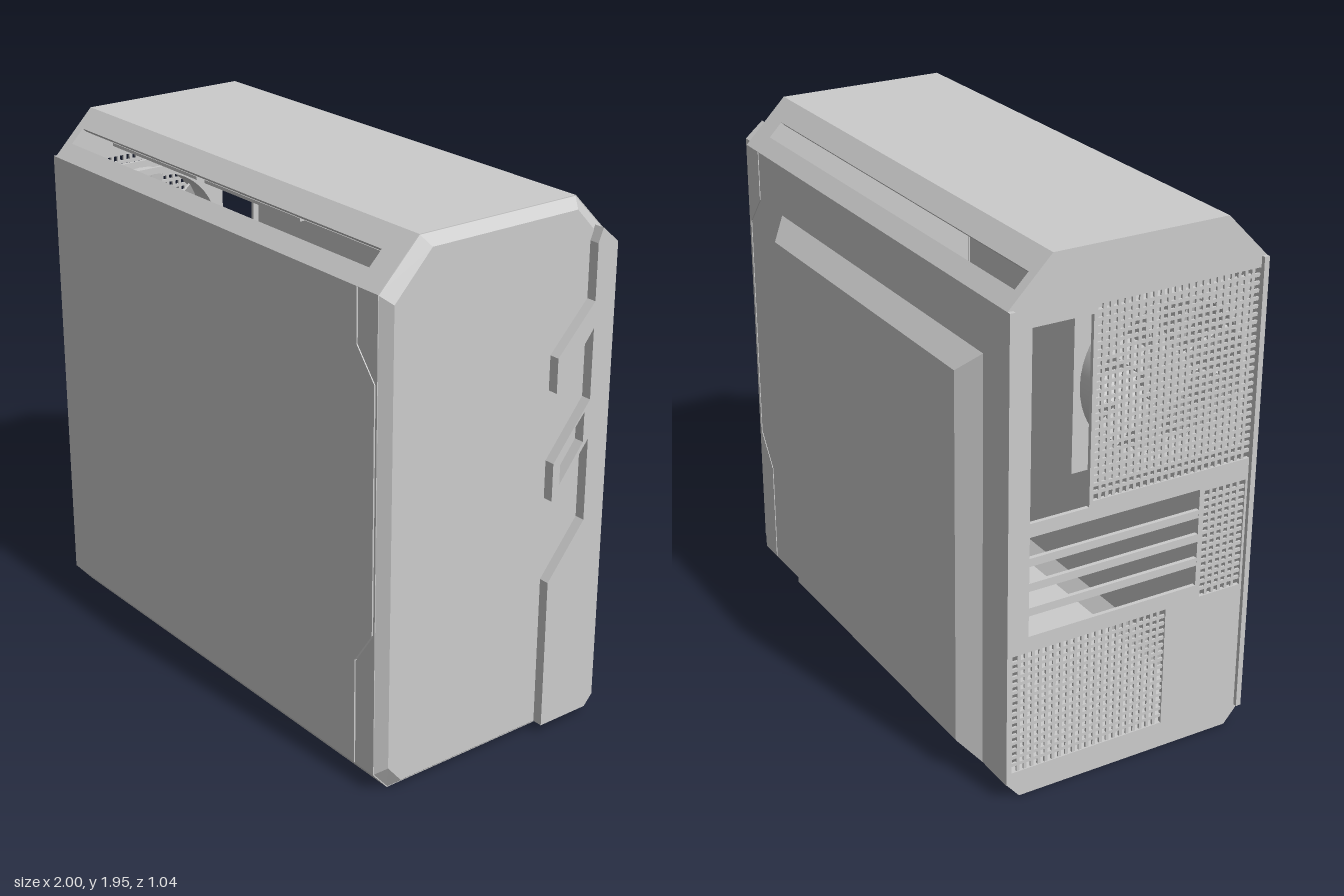
import * as THREE from 'three';
import { mergeGeometries } from 'three/addons/utils/BufferGeometryUtils.js';

const grey = new THREE.MeshStandardMaterial({ color: 0xcccccc, flatShading: true });
const smooth = new THREE.MeshStandardMaterial({ color: 0xcccccc, side: THREE.DoubleSide });
const vec = (p) => new THREE.Vector2(p[0], p[1]);
const rect = (a0, a1, b0, b1) => [[a0, b0], [a1, b0], [a1, b1], [a0, b1]];

function slab(points, depth, holes = []) {
  const shape = new THREE.Shape(points.map(vec));
  holes.forEach((h) => shape.holes.push(new THREE.Path(h.map(vec))));
  return new THREE.ExtrudeGeometry(shape, { depth, bevelEnabled: false });
}

// Move the outline at local z = level from one outline to a matching inset one
function taper(geo, from, to, level) {
  const p = geo.attributes.position;
  for (let i = 0; i < p.count; i++) {
    if (Math.abs(p.getZ(i) - level) > 1e-4) continue;
    const k = from.findIndex((f) => Math.hypot(f[0] - p.getX(i), f[1] - p.getY(i)) < 1e-4);
    p.setXY(i, to[k][0], to[k][1]);
  }
  geo.computeVertexNormals();
  return geo;
}

// Outline given as (z, y); thickness runs from x towards -x
const zyMatrix = (x) => new THREE.Matrix4().makeBasis(
  new THREE.Vector3(0, 0, 1), new THREE.Vector3(0, 1, 0), new THREE.Vector3(-1, 0, 0)).setPosition(x, 0, 0);

function box(w, h, d, x, y, z) {
  return new THREE.BoxGeometry(w, h, d).translate(x, y, z);
}

// Case cross-section as (z, y), front bottom round to back bottom
const section = [[0.46, 0], [0.52, 0.07], [0.52, 1.79], [0.36, 1.953],
  [-0.30, 1.953], [-0.46, 1.79], [-0.46, 0.07], [-0.40, 0]];
const wallNames = ['frontSkirt', 'frontSidePanel', 'frontSlope', 'topPanel',
  'backSlope', 'backSidePanel', 'backSkirt', 'bottomPanel'];

export function createModel() {
  const root = new THREE.Group();
  const add = (name, geo, parent = root, mat = grey) => {
    const mesh = new THREE.Mesh(geo, mat);
    mesh.name = name;
    parent.add(mesh);
    return mesh;
  };

  // Outer walls, one plate per side of the cross-section
  section.forEach((a, i) => {
    const b = section[(i + 1) % section.length];
    const U = new THREE.Vector3(0, b[1] - a[1], b[0] - a[0]);
    const len = U.length();
    U.normalize();
    const X = new THREE.Vector3(1, 0, 0);
    const N = X.clone().cross(U);
    const m = new THREE.Matrix4().makeBasis(X, U, N)
      .setPosition(new THREE.Vector3(0, a[1], a[0]).addScaledVector(N, -0.02));
    const put = (name, pts, holes) => add(name, slab(pts, 0.02, holes).applyMatrix4(m));

    if (i === 1 || i === 5) {
      // Side panel with stepped seam against the bezel cheek
      let seam = [[0.82, 0], [0.82, 0.40], [0.91, 0.53], [0.91, 1.42], [0.82, 1.53], [0.82, len]];
      if (i === 5) seam = seam.map(([x, u]) => [x, len - u]).reverse();
      put(wallNames[i], [[-1, 0], ...seam, [-1, len]]);
      put('bezelCheek', [[0.925, 0], [0.925, len],
        ...seam.map(([x, u]) => [x + 0.007, u]).reverse()]);
    } else {
      const u0 = i === 2 ? 0.07 : len - 0.14;
      const slot = i === 2 || i === 4 ? [rect(-0.945, 0.82, u0, u0 + 0.07)] : [];
      put(wallNames[i], rect(-0.985, 0.925, 0, len), slot);
    }
  });

  // Front bezel with chamfered rim
  const inset = section.map(([z, y]) => [0.03 + (z - 0.03) * 0.93, 0.976 + (y - 0.976) * 0.963]);
  add('frontBezel', taper(slab(section, 0.04), section, inset, 0).applyMatrix4(zyMatrix(0.962)));

  // Raised toothed trim on the bezel
  const trim = [[-0.36, 1.85], [-0.34, 1.8], [-0.34, 1.6], [-0.183, 1.435], [-0.183, 1.31],
    [-0.34, 1.505], [-0.34, 1.25], [-0.183, 1.055], [-0.183, 0.915], [-0.34, 1.105],
    [-0.34, 0.8], [-0.183, 0.605], [-0.183, 0.035], [-0.395, 0.035], [-0.43, 0.075], [-0.43, 1.79]];
  const window_ = [[-0.215, 0.97], [-0.215, 1.09], [-0.317, 1.21], [-0.317, 1.1]];
  add('bezelTrim', slab(trim, 0.04, [window_]).applyMatrix4(zyMatrix(1)));

  // Bulge on the back side panel
  const base = [[0.63, 1.6], [0.63, 0.62], [0.55, 0.49], [0.55, 0.07], [-0.84, 0.07], [-0.84, 1.6]];
  const crown = [[0.56, 1.53], [0.56, 0.62], [0.48, 0.49], [0.48, 0.14], [-0.77, 0.14], [-0.77, 1.53]];
  add('sidePanelBulge', taper(slab(base, 0.065), base, crown, 0).translate(0, 0, -0.525));

  // Rear panel with port opening, vents and expansion slots
  const vents = [[-0.13, 0.5, 1.06, 1.75], [0.32, 0.49, 0.57, 0.98], [-0.43, 0.18, 0.1, 0.56]];
  const ports = [-0.37, -0.145, 1.04, 1.72];
  const slots = [-0.37, 0.3, 0.62, 0.99];
  add('rearPanel', slab(section, 0.015,
    [...vents, ports, slots].map((r) => rect(...r))).applyMatrix4(zyMatrix(-0.97)));

  // Grilles over the vents
  vents.forEach(([z0, z1, y0, y1]) => {
    const bars = [];
    const nz = Math.round((z1 - z0) / 0.028);
    const ny = Math.round((y1 - y0) / 0.028);
    for (let i = 1; i < nz; i++)
      bars.push(box(0.008, y1 - y0, 0.012, -0.977, (y0 + y1) / 2, z0 + (z1 - z0) * i / nz));
    for (let j = 1; j < ny; j++)
      bars.push(box(0.008, 0.012, z1 - z0, -0.977, y0 + (y1 - y0) * j / ny, (z0 + z1) / 2));
    add('rearGrille', mergeGeometries(bars));
  });
  for (let i = 1; i < 4; i++)
    add('slotDivider', box(0.015, 0.03, 0.67, -0.977, 0.62 + 0.0925 * i, -0.035));

  // Tray between the main chamber and the back side panel
  add('boardTray', box(1.76, 1.64, 0.012, -0.09, 0.93, -0.4));

  // Fan with its axis along local z
  const fan = (name, size, depth) => {
    const g = new THREE.Group();
    g.name = name;
    const h = size / 2, r = h * 0.92;
    const plate = new THREE.Shape(rect(-h, h, -h, h).map(vec));
    plate.holes.push(new THREE.Path().absarc(0, 0, r, 0, Math.PI * 2, true));
    for (const s of [-1, 1])
      add('fanFlange', new THREE.ExtrudeGeometry(plate, { depth: 0.012, bevelEnabled: false, curveSegments: 24 })
        .translate(0, 0, s * (depth / 2 - 0.006) - 0.006), g);
    add('fanRing', new THREE.CylinderGeometry(r, r, depth, 40, 1, true).rotateX(Math.PI / 2), g, smooth);
    add('fanHub', new THREE.CylinderGeometry(h * 0.3, h * 0.3, depth * 0.7, 24).rotateX(Math.PI / 2), g);
    const blades = [];
    for (let i = 0; i < 9; i++)
      blades.push(box(r * 0.7, h * 0.3, 0.008, 0, 0, 0).rotateX(0.5)
        .translate(r * 0.6, 0, 0).rotateZ(i * Math.PI * 2 / 9));
    add('fanBlades', mergeGeometries(blades), g);
    root.add(g);
    return g;
  };
  [-0.64, -0.03, 0.56].forEach((x) => {
    const f = fan('topFan', 0.56, 0.1);
    f.rotation.x = Math.PI / 2;
    f.position.set(x, 1.86, 0.03);
  });
  const rear = fan('rearFan', 0.62, 0.12);
  rear.rotation.y = Math.PI / 2;
  rear.position.set(-0.9, 1.41, 0.18);

  return root;
}
